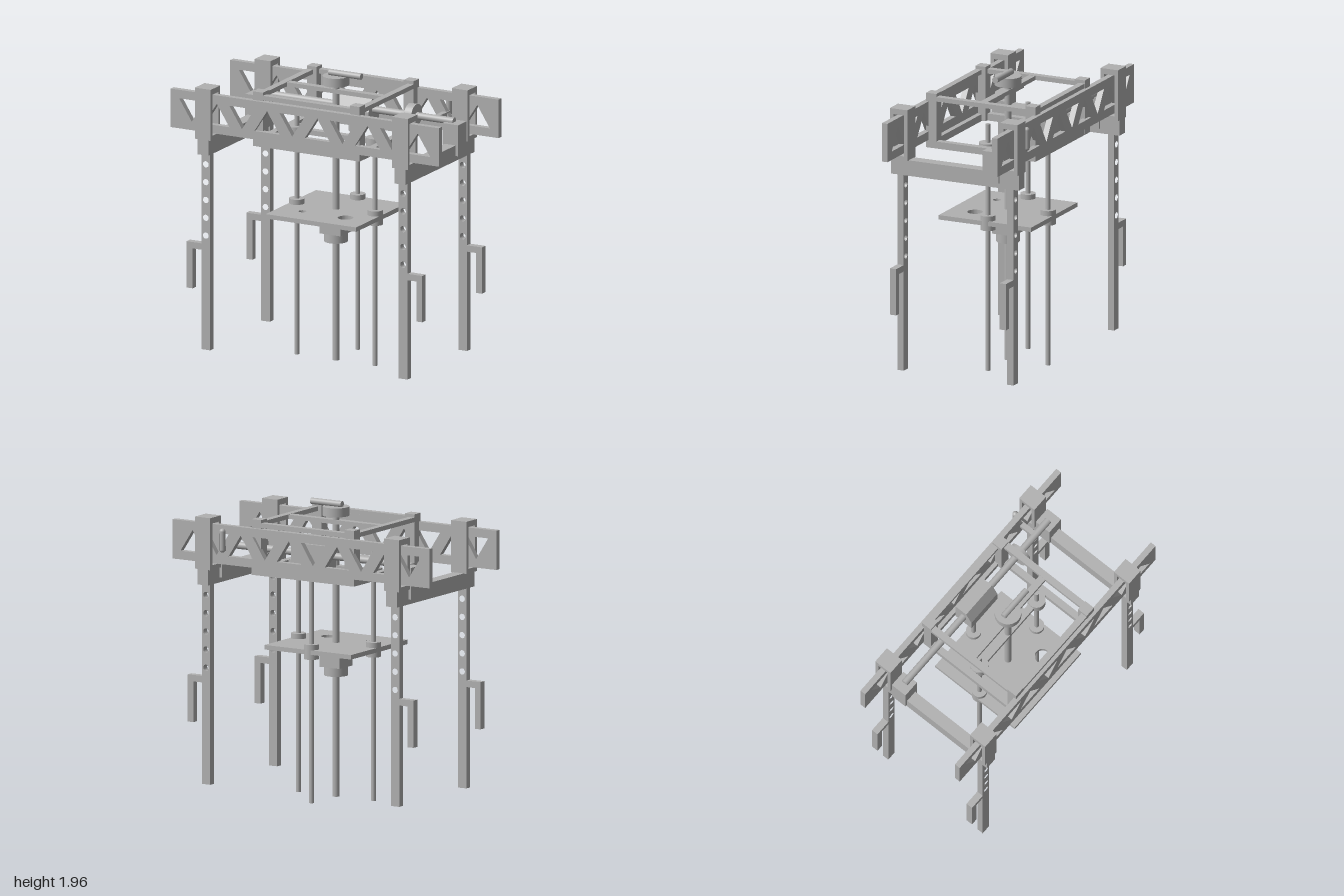
import * as THREE from 'three';

export function createModel() {
  const model = new THREE.Group();
  model.name = 'gantryRig';
  const gray = new THREE.MeshStandardMaterial({ color: 0xb0b0b0 });
  gray.name = 'plain gray';

  const add = (name, geo) => {
    const m = new THREE.Mesh(geo, gray);
    m.name = name;
    model.add(m);
    return m;
  };
  // box from min/max limits
  const box = (name, x0, x1, y0, y1, z0, z1) =>
    add(name, new THREE.BoxGeometry(x1 - x0, y1 - y0, z1 - z0)
      .translate((x0 + x1) / 2, (y0 + y1) / 2, (z0 + z1) / 2));
  // upright cylinder
  const post = (name, r, y0, y1, x = 0, z = 0) =>
    add(name, new THREE.CylinderGeometry(r, r, y1 - y0, 32).translate(x, (y0 + y1) / 2, z));
  // cylinder lying along x
  const bar = (name, r, x0, x1, y, z) =>
    add(name, new THREE.CylinderGeometry(r, r, x1 - x0, 32)
      .rotateZ(Math.PI / 2).translate((x0 + x1) / 2, y, z));
  const poly = (pts, Type = THREE.Shape) => new Type(pts.map(p => new THREE.Vector2(...p)));
  const rect = (a, b, c, d, Type) => poly([[a, c], [b, c], [b, d], [a, d]], Type);
  const circle = (x, y, r) => new THREE.Path().absarc(x, y, r, 0, Math.PI * 2, true);
  const extrude = (shape, depth) =>
    new THREE.ExtrudeGeometry(shape, { depth, bevelEnabled: false, curveSegments: 16 })
      .translate(0, 0, -depth / 2);

  // truss rail with alternating triangular openings
  const rail = rect(-1, 1, 1.54, 1.8);
  for (let i = 0; i < 10; i++) {
    const x = -0.8424 + i * 0.1872, down = i % 2 === 0;
    const base = down ? 1.743 : 1.597, tip = down ? 1.597 : 1.743;
    rail.holes.push(poly([[x - 0.094, base], [x + 0.094, base], [x, tip]], THREE.Path));
  }
  const railGeo = extrude(rail, 0.04);

  // leg with a row of pin holes and a hooked grip
  const legGeometry = s => {
    const pts = [[0.703, 0.07], [0.768, 0.07], [0.768, 0.742], [0.834, 0.742], [0.834, 0.472],
      [0.878, 0.472], [0.878, 0.785], [0.768, 0.785], [0.768, 1.4], [0.703, 1.4]];
    const leg = poly(pts.map(([x, y]) => [s * x, y]));
    for (let i = 0; i < 5; i++) leg.holes.push(circle(s * 0.7355, 0.842 + i * 0.1205, 0.021));
    return extrude(leg, 0.046);
  };

  // sleeve that the rail slides through
  const sleeve = rect(-0.064, 0.064, 1.5, 1.845);
  sleeve.holes.push(rect(-0.039, 0.039, 1.53, 1.807, THREE.Path));
  const sleeveGeo = extrude(sleeve, 0.118).rotateY(Math.PI / 2);

  for (const f of [1, -1]) {
    add('trussRail', railGeo).position.z = f * 0.4;
    for (const s of [1, -1]) {
      add('leg', legGeometry(s)).position.z = f * 0.4;
      add('railSleeve', sleeveGeo).position.set(s * 0.735, 0, f * 0.401);
      // carriage corner posts
      const x = s * 0.361, z = f * 0.361;
      box('carriageCorner', x - 0.037, x + 0.037, 1.49, 1.857, z - 0.037, z + 0.037);
    }
    // carriage frame, upper and lower
    for (const [y0, y1] of [[1.806, 1.836], [1.488, 1.535]]) {
      box('carriageLongBar', -0.398, 0.398, y0, y1, f * 0.375 - 0.022, f * 0.375 + 0.022);
      box('carriageSideBar', f * 0.375 - 0.023, f * 0.375 + 0.023, y0, y1, -0.38, 0.38);
    }
    // end beam and bearing block
    const bx = f * 0.735;
    box('endBeam', bx - 0.041, bx + 0.041, 1.397, 1.502, -0.465, 0.465);
    box('bearingBlock', bx - 0.059, bx + 0.059, 1.43, 1.64, -0.325, -0.21);
  }

  // bars carrying the screw and guide rods
  box('upperCrossBar', -0.36, 0.36, 1.806, 1.834, -0.024, 0.024);
  box('lowerCrossBar', -0.36, 0.36, 1.5, 1.533, -0.024, 0.024);

  // guide rods with flanges and plate bushings
  for (const [x, z] of [[-0.292, 0], [0.292, 0], [0, -0.292]]) {
    post('guideRod', 0.016, 0, 1.67, x, z);
    post('rodFlange', 0.059, 1.48, 1.545, x, z);
    post('plateBushing', 0.05, 0.956, 1.054, x, z);
  }

  // lifting plate
  const plate = rect(-0.337, 0.337, -0.337, 0.337);
  plate.holes.push(circle(-0.16, -0.16, 0.026), circle(0.16, -0.16, 0.051));
  add('liftPlate', extrude(plate, 0.03).rotateX(-Math.PI / 2)).position.y = 1.005;
  box('screwNut', -0.078, 0.078, 0.862, 0.995, -0.078, 0.078);
  post('nutFlange', 0.078, 0.804, 0.864);

  // vertical screw with hand crank
  post('verticalScrew', 0.023, 0, 1.88);
  post('crankWheel', 0.087, 1.862, 1.922);
  bar('crankHandle', 0.021, -0.048, 0.19, 1.939, 0);

  // horizontal screw, its wheel and side crank
  bar('horizontalScrew', 0.024, -0.733, 0.733, 1.646, -0.268);
  bar('screwWheel', 0.075, 0.4, 0.455, 1.65, -0.264);
  box('sideCrankArm', 0.582, 0.618, 1.632, 1.665, -0.435, -0.268);
  add('sideCrankHandle', new THREE.CapsuleGeometry(0.02, 0.12, 6, 16)).position.set(0.6, 1.7, -0.435);

  // travelling nut block with a sloped front
  const nut = poly([[0.337, 1.54], [0.337, 1.72], [0.245, 1.72], [0.2, 1.64], [0.2, 1.54]].reverse());
  add('travelNut', extrude(nut, 0.264).rotateY(Math.PI / 2));

  return model;
}
